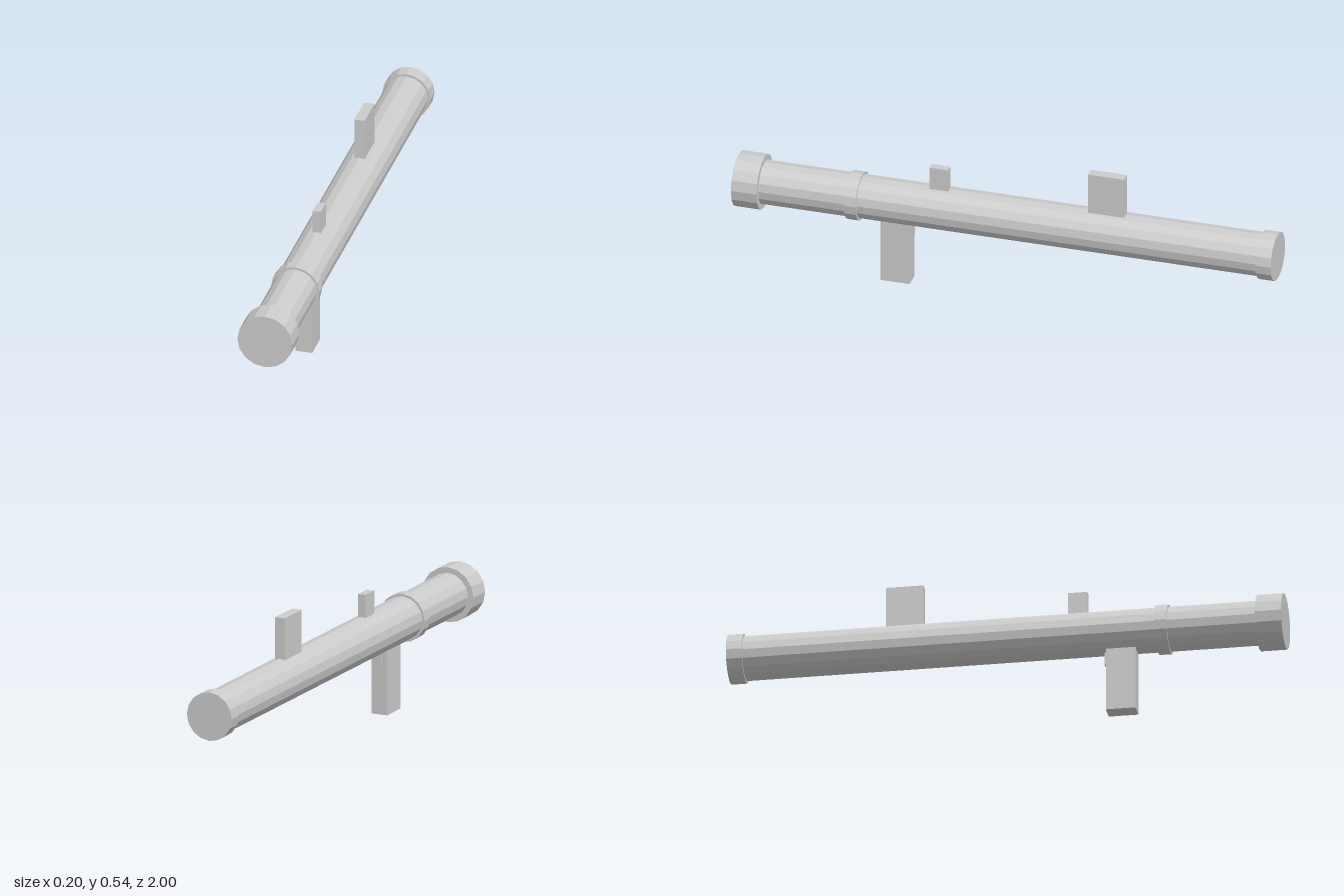
import * as THREE from 'three';

export function createModel() {
  const group = new THREE.Group();
  const material = new THREE.MeshStandardMaterial({ color: 0xcccccc, flatShading: true });
  const axisY = 0.311;

  const add = (name, geometry, x, y, z) => {
    const mesh = new THREE.Mesh(geometry, material);
    mesh.name = name;
    mesh.position.set(x, y, z);
    group.add(mesh);
  };

  // 16-sided cylinder lying along z, between two z positions
  const barrel = (name, radius, z0, z1) => {
    const geometry = new THREE.CylinderGeometry(radius, radius, z1 - z0, 16).rotateX(Math.PI / 2);
    add(name, geometry, 0, axisY, (z0 + z1) / 2);
  };

  // Box centred on x, given its width and its y and z ranges
  const block = (name, width, y0, y1, z0, z1) =>
    add(name, new THREE.BoxGeometry(width, y1 - y0, z1 - z0), 0, (y0 + y1) / 2, (z0 + z1) / 2);

  // Tube and its collars
  barrel('tube', 0.08, -0.99, 0.99);
  barrel('frontCollar', 0.101, 0.905, 1);
  barrel('middleRing', 0.089, 0.541, 0.585);
  barrel('rearCollar', 0.089, -1, -0.943);

  // Sights on top
  block('rearSight', 0.038, 0.37, 0.541, -0.435, -0.3);
  block('frontSight', 0.03, 0.37, 0.473, 0.219, 0.289);

  // Grip and trigger below
  block('grip', 0.062, 0, 0.26, 0.358, 0.465);
  block('trigger', 0.02, 0.185, 0.25, 0.35, 0.37);

  return group;
}
